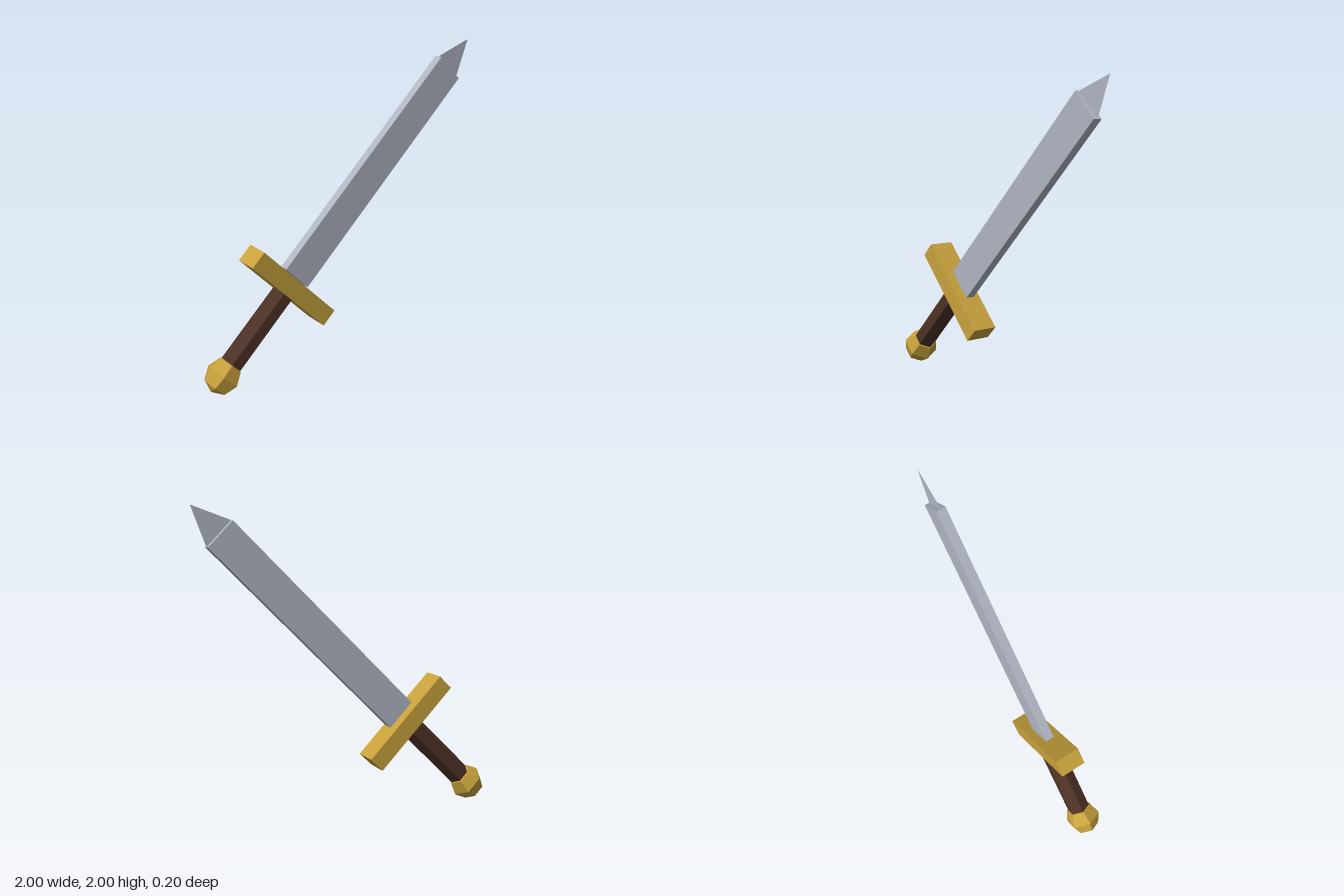
import * as THREE from 'three';

function material(name, color) {
  const m = new THREE.MeshStandardMaterial({ color });
  m.name = name;
  m.flatShading = true;
  return m;
}

export function createModel() {
  const steel = material('steel', 0xb0b5c2);
  const gold = material('gold', 0xc8a23c);
  const leather = material('dark leather', 0x4d3226);
  const steelSheet = steel;
  steelSheet.side = THREE.DoubleSide; // the point is a single flat sheet

  // The sword is built upright along y, then leaned 45 degrees to the right
  const sword = new THREE.Group();
  sword.name = 'sword';
  sword.position.set(0, 1, 0);
  sword.rotation.z = -Math.PI / 4;

  const add = (name, geometry, mat, y) => {
    const mesh = new THREE.Mesh(geometry, mat);
    mesh.name = name;
    mesh.position.y = y;
    sword.add(mesh);
  };

  const bladeWidth = 0.216, bladeBase = -0.506, bladeTop = 1.177, tipTop = 1.414;

  // Blade: a long flat bar starting just clear of the guard
  add('blade', new THREE.BoxGeometry(bladeWidth, bladeTop - bladeBase, 0.06), steel, (bladeTop + bladeBase) / 2);

  // Point: a thin triangle on the blade's middle plane
  const point = new THREE.Shape([
    new THREE.Vector2(-bladeWidth / 2, 0),
    new THREE.Vector2(bladeWidth / 2, 0),
    new THREE.Vector2(0, tipTop - bladeTop),
  ]);
  add('bladePoint', new THREE.ShapeGeometry(point), steelSheet, bladeTop);

  // Crossguard
  add('crossguard', new THREE.BoxGeometry(0.707, 0.117, 0.166), gold, -0.575);

  // Six-sided grip with flat faces to front and back
  const grip = new THREE.CylinderGeometry(0.075, 0.075, 0.65, 6).rotateY(Math.PI / 6);
  add('grip', grip, leather, -0.9);

  // Faceted pommel
  add('pommel', new THREE.SphereGeometry(0.117, 6, 4), gold, -1.249);

  const model = new THREE.Group();
  model.name = 'swordModel';
  model.add(sword);
  return model;
}
